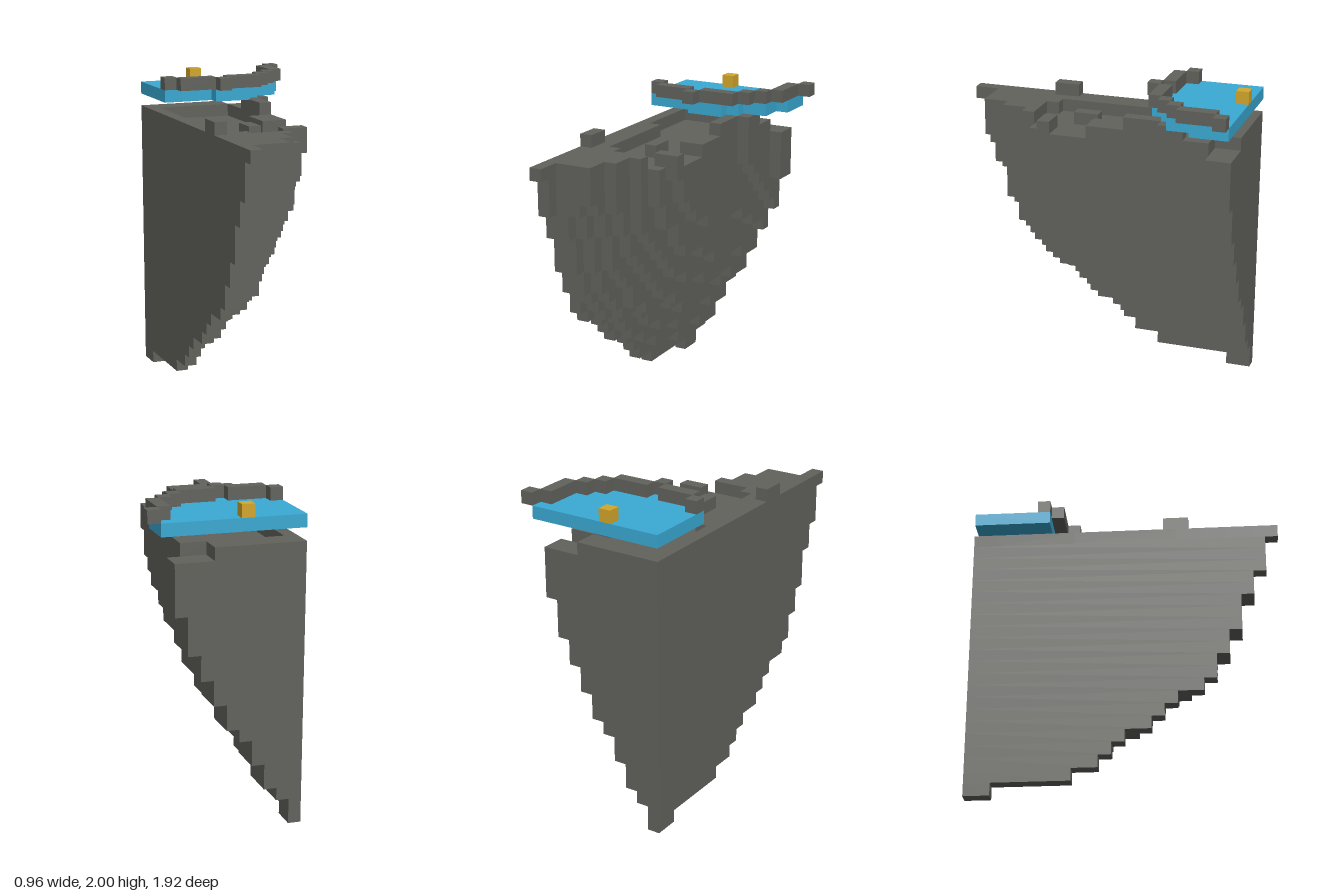
import * as THREE from 'three';
import { mergeGeometries } from 'three/addons/utils/BufferGeometryUtils.js';

const U = 0.08; // block size
const X0 = -0.48, Z0 = -0.96; // corner where the two flat sides meet

// Box from block ranges [x0, x1, z0, z1] on one level
function block([x0, x1, z0, z1], level) {
  const g = new THREE.BoxGeometry((x1 - x0) * U, U, (z1 - z0) * U).toNonIndexed();
  return g.translate(X0 + (x0 + x1) / 2 * U, (level + 0.5) * U, Z0 + (z0 + z1) / 2 * U);
}

// Flat slab with a stepped edge; widths[r] is the number of blocks in row r
function steppedSlab(widths, level) {
  const s = new THREE.Shape();
  s.moveTo(X0, -Z0);
  widths.forEach((w, r) => {
    if (w !== widths[r - 1]) s.lineTo(X0 + w * U, -(Z0 + r * U));
    if (w !== widths[r + 1]) s.lineTo(X0 + w * U, -(Z0 + (r + 1) * U));
  });
  s.lineTo(X0, -(Z0 + widths.length * U));
  s.closePath();
  const g = new THREE.ExtrudeGeometry(s, { depth: U, bevelEnabled: false });
  return g.rotateX(-Math.PI / 2).translate(0, level * U, 0);
}

export function createModel() {
  const model = new THREE.Group();
  const stone = new THREE.MeshStandardMaterial({ color: 0x62625d });
  stone.name = 'stone';
  const water = new THREE.MeshStandardMaterial({ color: 0x3aaad4 });
  water.name = 'water';
  const gold = new THREE.MeshStandardMaterial({ color: 0xd4a82c });
  gold.name = 'gold';

  const add = (name, geometries, material) => {
    const mesh = new THREE.Mesh(mergeGeometries(geometries), material);
    mesh.name = name;
    model.add(mesh);
  };

  // Rock: quarter-ellipse levels widening upward, kept inside the top outline
  const width = [0.9, 1.2, 1.7, 2.6, 3.1, 3.6, 4.1, 4.6, 5.6, 6.1, 6.6, 7.1, 7.6, 8.1, 8.6, 8.95, 9.3, 9.6, 9.8, 10, 10.2];
  const depth = [2, 8, 10, 11, 12, 14, 15, 16, 18, 19, 19, 20, 20, 21, 21, 21, 22, 22, 23, 23, 23];
  const outline = [10, 10, 9, 9, 9, 9, 8, 8, 8, 8, 8, 8, 8, 8, 8, 8, 7, 6, 5, 5, 4, 4, 1, 1];
  const levels = width.map((w, level) => {
    // how many rows may reach eight and nine blocks wide
    const reach8 = level < 15 ? 2 * (level - 12) + 1 : 24;
    const reach9 = level - 13;
    const rows = [];
    for (let r = 0; r < depth[level]; r++) {
      const t = (r + 0.5) / depth[level];
      const curve = Math.max(1, Math.round(w * Math.sqrt(1 - t * t)));
      const limit = r >= reach8 ? 7 : r >= reach9 ? 8 : 10;
      rows.push(Math.min(curve, limit, outline[r]));
    }
    return steppedSlab(rows, level);
  });
  add('rock', levels, stone);

  // Raised ground around the sunken top
  const ground = [
    [0, 7, 0, 2], [0, 1, 2, 8], [0, 2, 8, 16], [0, 3, 16, 17],
    [0, 6, 17, 18], [0, 5, 18, 20], [0, 4, 20, 22], [0, 1, 22, 24],
    [7, 9, 2, 6], [7, 8, 6, 9], [6, 8, 9, 12], [6, 8, 15, 16], [4, 5, 12, 14],
  ];
  add('raisedGround', ground.map((b) => block(b, 21)), stone);

  // Loose stones on the ground
  const stones = [[0, 1, 15, 17], [7, 8, 5, 9], [8, 9, 4, 6]];
  add('topStones', stones.map((b) => block(b, 22)), stone);

  // Pool with a small bulge at the front
  add('pool', [steppedSlab([11, 11, 11, 10, 10, 8], 23), block([4, 7, 6, 7], 23)], water);

  // Stepped curb around the pool
  const curb = [
    [11, 12, 0, 1], [10, 11, 1, 4], [9, 10, 4, 5], [8, 9, 5, 6],
    [5, 8, 6, 7], [4, 5, 7, 8], [1, 4, 6, 7], [0, 1, 5, 6],
  ];
  add('poolCurb', curb.map((b) => block(b, 24)), stone);

  // Small cube on the water
  add('goldCube', [block([4, 5, 0, 1], 24)], gold);

  return model;
}
